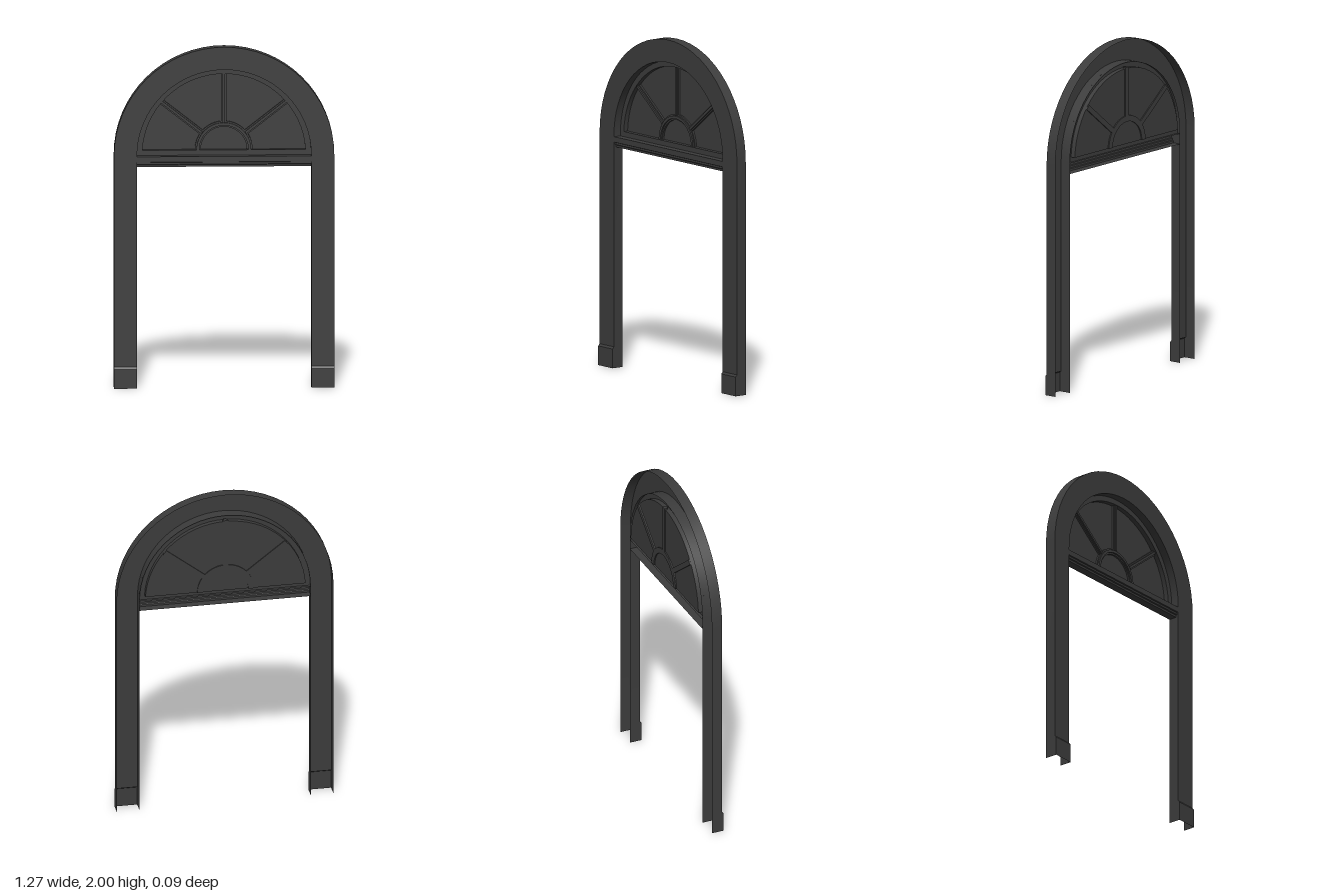
import * as THREE from 'three';
import { toCreasedNormals } from 'three/addons/utils/BufferGeometryUtils.js';

const CY = 1.365;                 // centre height of the arch
const R_OUT = 0.637, R_IN = 0.504; // outer and inner half widths
const FRONT = 0.035, BACK = -0.03;

const material = new THREE.MeshStandardMaterial({ color: 0x3c3c3c, side: THREE.DoubleSide });

function add(parent, name, geometry) {
  const mesh = new THREE.Mesh(geometry, material);
  mesh.name = name;
  parent.add(mesh);
  return mesh;
}

// Sheet stretched between rows of [x, y, z] points
function loft(rows) {
  const pos = [];
  for (let r = 0; r < rows.length - 1; r++) {
    for (let i = 0; i < rows[r].length - 1; i++) {
      const a = rows[r][i], b = rows[r][i + 1], c = rows[r + 1][i + 1], d = rows[r + 1][i];
      pos.push(...a, ...b, ...c, ...a, ...c, ...d);
    }
  }
  const g = new THREE.BufferGeometry();
  g.setAttribute('position', new THREE.Float32BufferAttribute(pos, 3));
  g.computeVertexNormals();
  return toCreasedNormals(g, 0.5);
}

// Arc from right to left, cut off level at the height yBase
function arc(r, yBase = CY, n = 32) {
  const start = Math.asin((yBase - CY) / r);
  return Array.from({ length: n + 1 }, (_, i) => {
    const t = start + (Math.PI - 2 * start) * i / n;
    return [r * Math.cos(t), CY + r * Math.sin(t)];
  });
}

const atZ = (pts, z) => pts.map(([x, y]) => [x, y, z]);
const closed = (pts) => [...pts, pts[0]];
const toShape = (pts) => new THREE.Shape(pts.map(([x, y]) => new THREE.Vector2(x, y)));

// Outline of legs and arch, standing on the plinths
const archLine = (r) => [[r, 0.12], ...arc(r), [-r, 0.12]];

function halfRing(rOut, rIn, depth) {
  const s = new THREE.Shape();
  s.absarc(0, 0, rOut, 0, Math.PI, false);
  s.absarc(0, 0, rIn, Math.PI, 0, true);
  const g = new THREE.ExtrudeGeometry(s, { depth, bevelEnabled: false, curveSegments: 20 });
  return toCreasedNormals(g, 0.5);
}

export function createModel() {
  const model = new THREE.Group();
  model.name = 'archedDoorSurround';

  // Hollow arch casing, open at the back
  const casing = new THREE.Group();
  casing.name = 'archCasing';
  model.add(casing);
  const outer = archLine(R_OUT), inner = archLine(R_IN);
  add(casing, 'casingFace', loft([atZ(inner, FRONT), atZ(outer, FRONT)]));
  add(casing, 'casingOuterWall', loft([atZ(outer, FRONT), atZ(outer, BACK)]));
  add(casing, 'casingInnerWall', loft([atZ(inner, BACK), atZ(inner, FRONT)]));

  // Plinths with a sloping top edge, hollow like the legs
  for (const side of [-1, 1]) {
    const row = (y, z) => [[R_IN, y, BACK], [R_IN, y, z], [R_OUT, y, z], [R_OUT, y, BACK]]
      .map(([x, py, pz]) => [side * x, py, pz]);
    add(model, side > 0 ? 'leftPlinth' : 'rightPlinth',
      loft([row(0, 0.045), row(0.113, 0.045), row(0.125, FRONT)]));
  }

  // Moulded transom, open at the back
  const profile = [[1.298, BACK], [1.298, 0.02], [1.31, 0.02], [1.314, 0.026],
    [1.325, 0.026], [1.328, 0.033], [1.36, 0.033], [1.36, BACK]];
  add(model, 'transom', loft([-R_IN, R_IN].map((x) => profile.map(([y, z]) => [x, y, z]))));

  // Fanlight: sash, pane and glazing bars
  const fanlight = new THREE.Group();
  fanlight.name = 'fanlight';
  model.add(fanlight);
  const sashOut = closed(arc(R_IN, 1.36)), sashIn = closed(arc(0.472, 1.39));
  add(fanlight, 'sash', loft([atZ(sashOut, -0.012), atZ(sashIn, -0.012), atZ(sashIn, -0.04)]));
  const pane = add(fanlight, 'pane', new THREE.ShapeGeometry(toShape(arc(0.472, 1.39))));
  pane.position.z = -0.04;

  // Each bar has a wide base and a narrow raised strip
  const steps = [
    { name: 'Base', half: 0.017, z0: -0.047, z1: -0.029 },
    { name: 'Strip', half: 0.008, z0: -0.029, z1: -0.02 },
  ];
  const bars = new THREE.Group();
  bars.name = 'glazingBars';
  bars.position.y = 1.39;
  fanlight.add(bars);
  for (const { name, half, z0, z1 } of steps) {
    add(bars, 'hub' + name, halfRing(0.15 + half, 0.15 - half, z1 - z0)).position.z = z0;
    for (const degrees of [38, 90, 142]) {
      const g = new THREE.BoxGeometry(0.295, half * 1.8, z1 - z0);
      g.translate(0.3075, 0, (z0 + z1) / 2);
      add(bars, 'spoke' + name, g).rotation.z = THREE.MathUtils.degToRad(degrees);
    }
  }
  return model;
}
